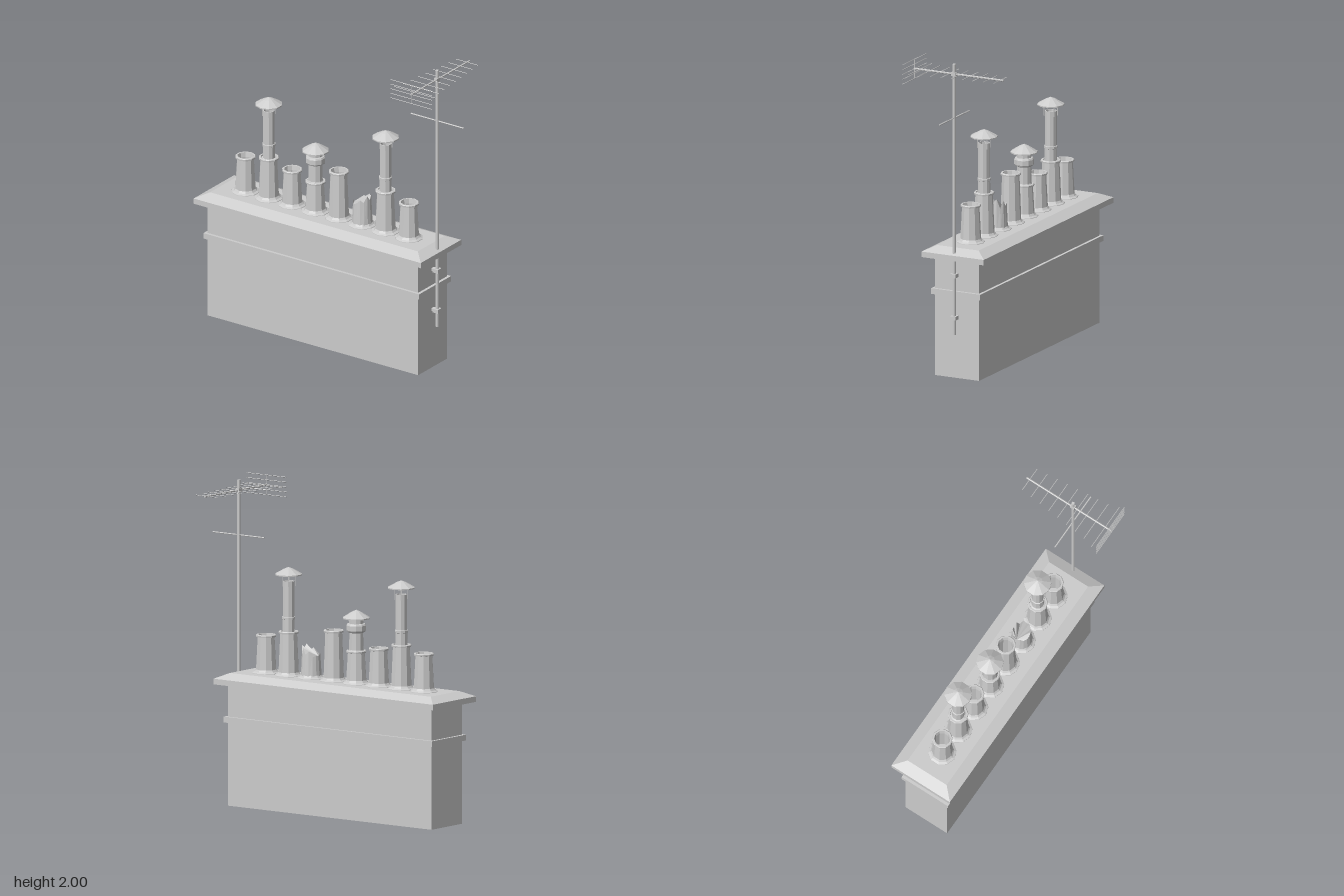
import * as THREE from 'three';

const Z = 0.03;        // centre line of the stack
const SIDES = 10;
const MAST_X = 0.738;

export function createModel() {
  const model = new THREE.Group();
  model.name = 'chimneyStack';
  const grey = new THREE.MeshStandardMaterial({ color: 0xcccccc });
  grey.name = 'paleGrey';
  grey.flatShading = true;
  grey.side = THREE.DoubleSide;

  const add = (name, geometry, x = 0, y = 0, z = 0, parent = model) => {
    const mesh = new THREE.Mesh(geometry, grey);
    mesh.name = name;
    mesh.position.set(x, y, z);
    parent.add(mesh);
    return mesh;
  };
  const block = (name, x0, x1, y0, y1, z0, z1) =>
    add(name, new THREE.BoxGeometry(x1 - x0, y1 - y0, z1 - z0),
      (x0 + x1) / 2, (y0 + y1) / 2, (z0 + z1) / 2);
  const lathe = (name, points, parent, sides = SIDES) =>
    add(name, new THREE.LatheGeometry(points.map(p => new THREE.Vector2(...p)), sides), 0, 0, 0, parent);
  // thin rod along one axis, centred on a point
  const rod = (name, axis, length, radius, x, y, z, parent, sides = 6) => {
    const mesh = add(name, new THREE.CylinderGeometry(radius, radius, length, sides), x, y, z, parent);
    if (axis === 'x') mesh.rotation.z = Math.PI / 2;
    if (axis === 'z') mesh.rotation.x = Math.PI / 2;
    return mesh;
  };

  // Masonry
  block('stackBody', -0.877, 0.703, 0, 0.76, -0.122, 0.184);
  block('stringCourse', -0.895, 0.722, 0.517, 0.553, -0.14, 0.202);
  block('capSlab', -0.938, 0.765, 0.755, 0.79, -0.187, 0.245);

  // Sloped top of the cap: a box whose upper corners are drawn inwards
  const slope = new THREE.BoxGeometry(1.703, 0.034, 0.432);
  const corners = slope.attributes.position;
  for (let i = 0; i < corners.count; i++) {
    if (corners.getY(i) < 0) continue;
    corners.setX(i, corners.getX(i) - Math.sign(corners.getX(i)) * 0.072);
    corners.setZ(i, corners.getZ(i) - Math.sign(corners.getZ(i)) * 0.072);
  }
  add('capSlope', slope, -0.0865, 0.807, 0.029);

  // Chimney pots
  const collar = parent =>
    lathe('mortarCollar', [[0.09, 0.815], [0.088, 0.827], [0.074, 0.834], [0.062, 0.85]], parent);

  function pot(x, top) {
    const group = new THREE.Group();
    group.name = 'chimneyPot';
    group.position.set(x, 0, Z);
    model.add(group);
    collar(group);
    lathe('potWall', [
      [0.066, 0.82], [0.054, top - 0.016], [0.063, top - 0.014], [0.064, top - 0.004],
      [0.06, top], [0.05, top], [0.045, top - 0.03], [0.05, 0.83], [0, 0.83],
    ], group);
    return group;
  }

  const rainHat = (parent, base, height) => lathe('rainHat', [
    [0, base + 0.006], [0.085, base], [0.085, base + 0.007],
    [0.03, base + height * 0.76], [0, base + height],
  ], parent);

  // Pot with a tall flue and a hat on four legs
  function fluePot(x) {
    const group = pot(x, 1.1);
    lathe('flueTube', [
      [0.052, 1.09], [0.039, 1.096], [0.038, 1.172], [0.042, 1.174], [0.042, 1.188],
      [0.037, 1.19], [0.037, 1.41], [0.032, 1.41], [0.032, 1.1], [0, 1.1],
    ], group);
    for (const sx of [-1, 1]) for (const sz of [-1, 1])
      rod('hatLeg', 'y', 0.08, 0.003, sx * 0.024, 1.418, sz * 0.034, group, 4);
    rainHat(group, 1.447, 0.05);
  }

  // Pot with a squat ventilator
  function ventPot(x) {
    const group = pot(x, 1.03);
    lathe('ventilator', [
      [0.052, 1.02], [0.046, 1.035], [0.044, 1.14], [0.058, 1.147], [0.062, 1.155],
      [0.062, 1.185], [0.057, 1.195], [0.046, 1.197], [0.046, 1.232],
    ], group);
    rainHat(group, 1.226, 0.055);
  }

  // Broken pot: tapered wall with a jagged rim, fanned across from its left edge
  function brokenPot(x) {
    const group = new THREE.Group();
    group.name = 'brokenPot';
    group.position.set(x, 0, Z);
    model.add(group);
    collar(group);
    const rim = [1.0, 1.025, 0.965, 1.015, 0.975, 0.995, 0.96, 0.968, 0.965, 0.985,
      0.965, 0.97, 0.985, 1.005, 0.99, 1.03];
    const n = rim.length, pos = [], index = [];
    const ring = (radius, height) => {
      for (let i = 0; i < n; i++) {
        const a = Math.PI + i / n * Math.PI * 2;
        pos.push(radius * Math.cos(a), height(i), -radius * Math.sin(a));
      }
    };
    ring(0.066, () => 0.82);
    // rim order starts at -x and passes the front first
    ring(0.057, i => rim[(i + 8) % n]);
    for (let i = 0; i < n; i++) {
      const j = (i + 1) % n;
      index.push(i, j, n + j, i, n + j, n + i);
      if (i > 0 && i < n - 1) index.push(n, n + i, n + i + 1);
    }
    const geometry = new THREE.BufferGeometry();
    geometry.setAttribute('position', new THREE.Float32BufferAttribute(pos, 3));
    geometry.setIndex(index);
    const flat = geometry.toNonIndexed();
    flat.computeVertexNormals();
    add('jaggedWall', flat, 0, 0, 0, group);
  }

  pot(-0.7, 1.062);
  fluePot(-0.525);
  pot(-0.35, 1.062);
  ventPot(-0.175);
  pot(0, 1.14);
  brokenPot(0.175);
  fluePot(0.35);
  pot(0.525, 1.062);

  // Aerial mast and its wall brackets
  const aerial = new THREE.Group();
  aerial.name = 'aerial';
  model.add(aerial);
  rod('mast', 'y', 1.718, 0.0105, MAST_X, 1.141, Z + 0.002, aerial, 8);
  for (const y of [0.39, 0.658]) {
    block('wallBracket', 0.7, 0.722, y - 0.009, y + 0.009, Z - 0.01, Z + 0.014);
    block('mastClamp', 0.718, 0.757, y - 0.012, y + 0.012, Z - 0.018, Z + 0.022);
  }
  rod('lowerDipole', 'x', 0.397, 0.0045, MAST_X, 1.659, Z, aerial);

  // Boom with directors that grow towards the reflector
  const boomY = 1.937;
  rod('boom', 'z', 0.622, 0.006, MAST_X, boomY, 0, aerial);
  block('boomClamp', MAST_X - 0.012, MAST_X + 0.012, boomY - 0.012, boomY + 0.012, Z - 0.014, Z + 0.018);
  for (let i = 0; i < 8; i++)
    rod('director', 'x', 0.166 + i * 0.015, 0.0022, MAST_X, boomY, -0.288 + i * 0.07, aerial, 4);
  rod('drivenElement', 'x', 0.312, 0.0022, MAST_X, boomY, 0.27, aerial, 4);
  rod('reflectorPost', 'y', 0.124, 0.0025, MAST_X, boomY, 0.307, aerial, 4);
  for (let i = 0; i < 5; i++)
    rod('reflectorRod', 'x', 0.31, 0.0022, MAST_X, 1.875 + i * 0.0305, 0.307, aerial, 4);

  return model;
}
